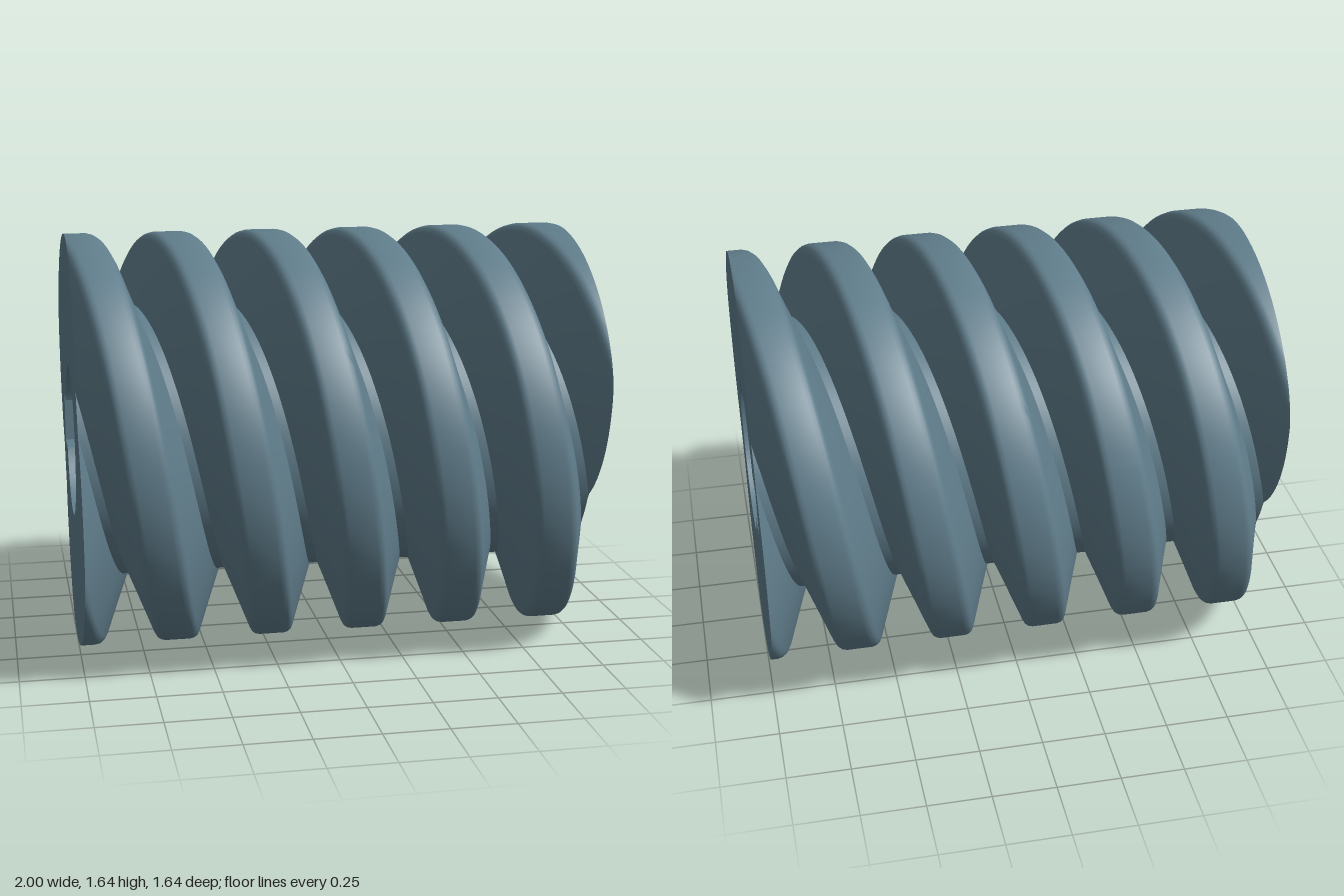
import * as THREE from 'three';
import { toCreasedNormals } from 'three/addons/utils/BufferGeometryUtils.js';

const TAU = Math.PI * 2;
const OUTER = 0.82, BORE = 0.3, HALF = 1;
const PITCH = 0.378, LEAD = PITCH * 2;   // two-start thread
const CREST = 0.183;                     // x of one crest on the top line
const KEY_HALF = 0.1, KEY_DEPTH = 0.42, KEY_ANGLE = TAU * 0.75;

// Half of a tooth: [distance from crest centre, radius]
const TOOTH = [[0.05, OUTER], [0.066, 0.816], [0.078, 0.807], [0.087, 0.79], [0.172, 0.545]];
const PROFILE = [...TOOTH.map(([d, r]) => [-d, r]).reverse(), ...TOOTH];

// Thread radius at a given angle and position along the axis
function threadRadius(a, x) {
  const t = (x - CREST - (LEAD * a) / TAU) / PITCH;
  const d = Math.abs(t - Math.round(t)) * PITCH;
  if (d <= TOOTH[0][0]) return OUTER;
  for (let i = 1; i < TOOTH.length; i++) {
    const [d0, r0] = TOOTH[i - 1], [d1, r1] = TOOTH[i];
    if (d <= d1) return r0 + ((r1 - r0) * (d - d0)) / (d1 - d0);
  }
  return TOOTH[TOOTH.length - 1][1];
}

// Bore radius at a given angle, including the rectangular keyway
const keyOuter = Math.atan(KEY_HALF / KEY_DEPTH), keyInner = Math.asin(KEY_HALF / BORE);
function boreRadius(a) {
  const d = Math.abs(a - KEY_ANGLE);
  if (d <= keyOuter + 1e-6) return KEY_DEPTH / Math.cos(d);
  if (d < keyInner) return KEY_HALF / Math.sin(d);
  return BORE;
}

// Even angles plus the exact keyway corners
const ANGLES = Array.from({ length: 145 }, (_, i) => (i / 144) * TAU);
for (const k of [keyOuter, keyInner]) ANGLES.push(KEY_ANGLE - k, KEY_ANGLE + k);
ANGLES.sort((p, q) => p - q);

// One row of [x, radius] points per angle, skinned around the axis
function sweep(name, row, crease, material) {
  const rows = ANGLES.map((a) => row(a).map(([x, r]) =>
    new THREE.Vector3(x, OUTER + r * Math.cos(a), r * Math.sin(a))));
  const pos = [];
  const tri = (a, b, c) => {
    if (a.distanceTo(b) < 1e-6 || b.distanceTo(c) < 1e-6 || c.distanceTo(a) < 1e-6) return;
    for (const p of [a, b, c]) pos.push(p.x, p.y, p.z);
  };
  for (let i = 0; i < rows.length - 1; i++) {
    const p = rows[i], q = rows[i + 1];
    for (let k = 0; k < p.length - 1; k++) {
      tri(p[k], q[k], q[k + 1]);
      tri(p[k], q[k + 1], p[k + 1]);
    }
  }
  const geometry = new THREE.BufferGeometry();
  geometry.setAttribute('position', new THREE.Float32BufferAttribute(pos, 3));
  const mesh = new THREE.Mesh(toCreasedNormals(geometry, crease), material);
  mesh.name = name;
  return mesh;
}

// Row of tooth profiles shifted along the helix and cut off at both ends
function threadRow(a) {
  const row = [];
  for (let n = -6; n <= 3; n++) {
    const centre = CREST + n * PITCH + (LEAD * a) / TAU;
    for (const [d, r] of PROFILE) {
      const x = THREE.MathUtils.clamp(centre + d, -HALF, HALF);
      row.push([x, x === centre + d ? r : threadRadius(a, x)]);
    }
  }
  return row;
}

export function createModel() {
  const group = new THREE.Group();
  group.name = 'wormGear';
  const steel = new THREE.MeshStandardMaterial({ color: 0x607d8b });

  group.add(
    sweep('thread', threadRow, 0.6, steel),
    sweep('keyedBore', (a) => [[HALF, boreRadius(a)], [-HALF, boreRadius(a)]], 0.6, steel),
    sweep('leftEndFace', (a) => [[HALF, threadRadius(a, HALF)], [HALF, boreRadius(a)]], 0.6, steel),
    sweep('rightEndFace', (a) => [[-HALF, boreRadius(a)], [-HALF, threadRadius(a, -HALF)]], 0.6, steel),
  );
  return group;
}
